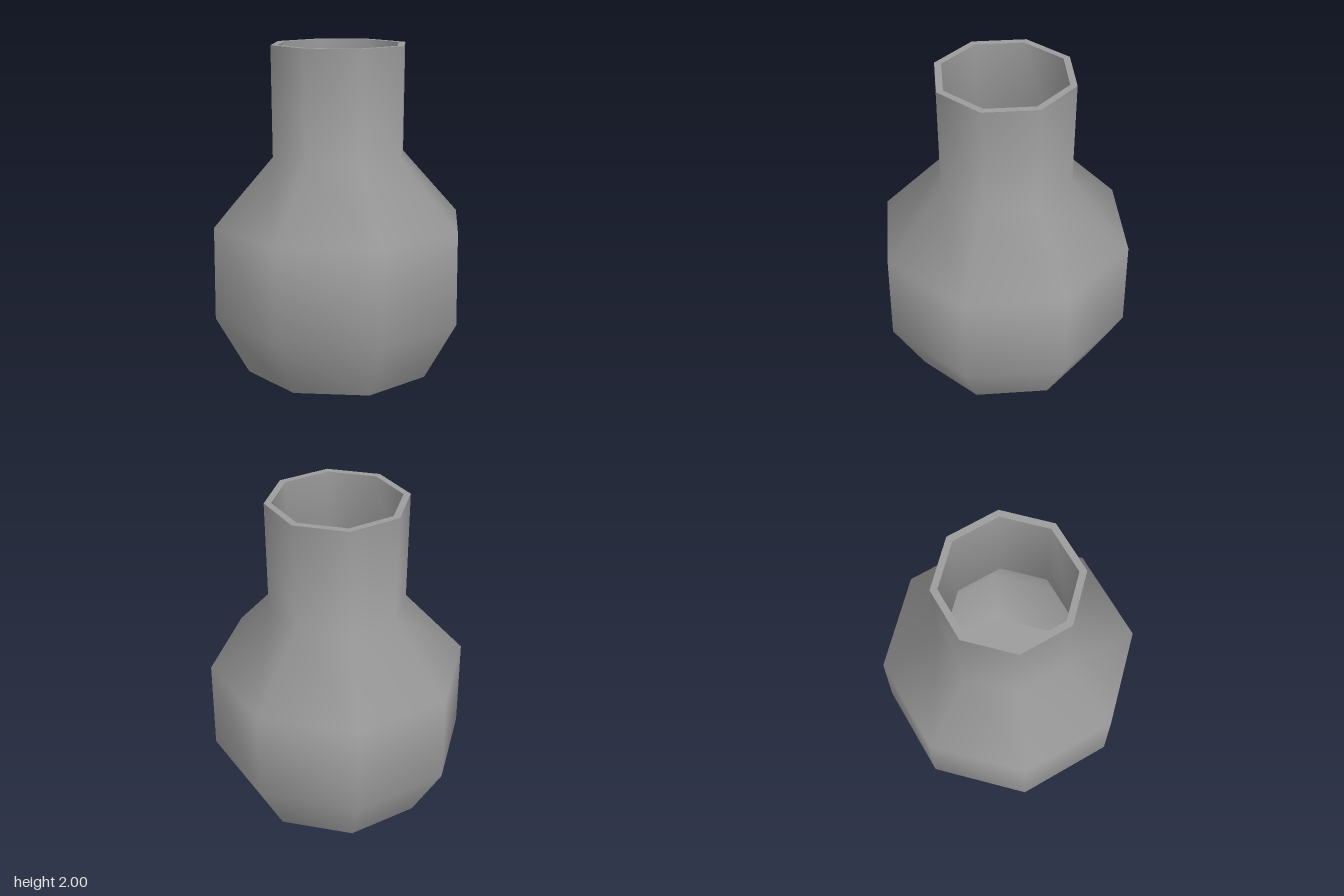
import * as THREE from 'three';

const SIDES = 8;

export function createModel() {
  const group = new THREE.Group();
  group.name = 'vase';
  const material = new THREE.MeshStandardMaterial({ color: 0x9c9c9c });

  // Each band is its own lathe: smooth inside a band, sharp between bands.
  const addBand = (name, profile) => {
    const points = profile.map(([r, y]) => new THREE.Vector2(r, y));
    const mesh = new THREE.Mesh(new THREE.LatheGeometry(points, SIDES), material);
    mesh.name = name;
    group.add(mesh);
  };

  // Profiles run from the underside, up the outside, and down the inside.
  addBand('base', [[0, 0], [0.585, 0]]);
  addBand('outerWall', [[0.585, 0], [0.785, 0.365], [0.781, 0.93], [0.415, 1.335], [0.42, 2]]);
  addBand('rim', [[0.42, 2], [0.378, 2]]);
  addBand('innerWall', [[0.378, 2], [0.378, 1.32], [0.743, 0.915], [0.745, 0.375], [0.56, 0.04]]);
  addBand('innerFloor', [[0.56, 0.04], [0, 0.04]]);

  return group;
}
